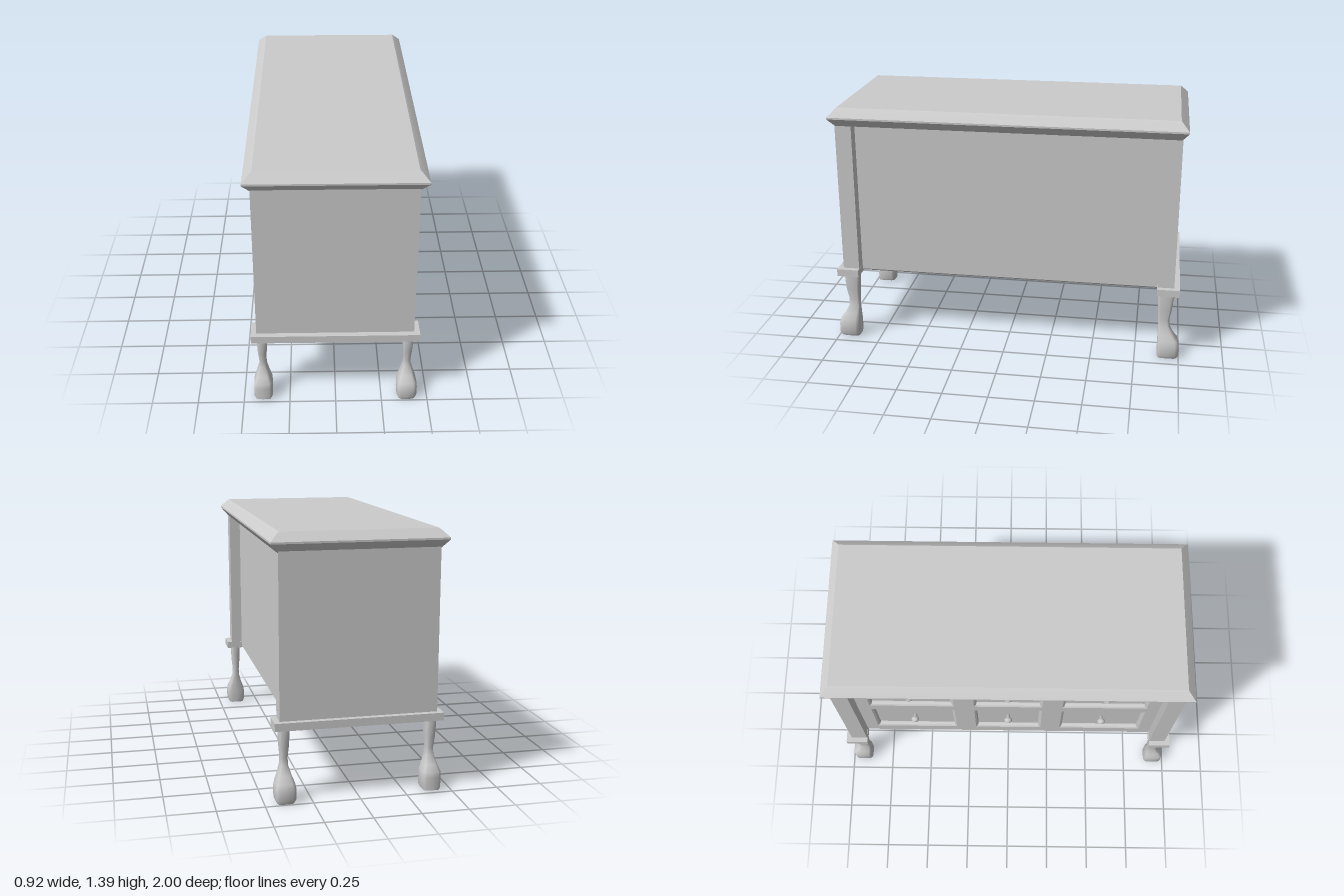
import * as THREE from 'three';
import { toCreasedNormals } from 'three/addons/utils/BufferGeometryUtils.js';

const material = new THREE.MeshStandardMaterial({ color: 0xcccccc });

function add(parent, name, geometry) {
  const mesh = new THREE.Mesh(geometry, material);
  mesh.name = name;
  parent.add(mesh);
  return mesh;
}

// Box given by its lower and upper corners
function box(parent, name, [x0, y0, z0], [x1, y1, z1]) {
  const mesh = add(parent, name, new THREE.BoxGeometry(x1 - x0, y1 - y0, z1 - z0));
  mesh.position.set((x0 + x1) / 2, (y0 + y1) / 2, (z0 + z1) / 2);
  return mesh;
}

// Closed solid through rounded-rectangle sections {y, cx, cz, hx, hz}, bottom to top
function loft(sections, sides, power, crease, phase = 0) {
  const points = [], index = [];
  const shape = (v) => Math.sign(v) * Math.abs(v) ** power;
  for (const s of sections) {
    for (let i = 0; i < sides; i++) {
      const a = phase + (i / sides) * Math.PI * 2;
      points.push(s.cx + s.hx * shape(Math.cos(a)), s.y, s.cz + s.hz * shape(Math.sin(a)));
    }
  }
  for (let r = 0; r < sections.length - 1; r++) {
    for (let i = 0; i < sides; i++) {
      const a = r * sides + i, b = r * sides + ((i + 1) % sides);
      index.push(a, a + sides, b, b, a + sides, b + sides);
    }
  }
  const top = (sections.length - 1) * sides;
  for (let i = 1; i < sides - 1; i++) {
    index.push(0, i, i + 1, top, top + i + 1, top + i);
  }
  const geometry = new THREE.BufferGeometry();
  geometry.setAttribute('position', new THREE.Float32BufferAttribute(points, 3));
  geometry.setIndex(index);
  return toCreasedNormals(geometry, crease);
}

function rectangle(path, z0, y0, z1, y1) {
  path.moveTo(z0, y0);
  path.lineTo(z1, y0);
  path.lineTo(z1, y1);
  path.lineTo(z0, y1);
  path.closePath();
  return path;
}

export function createModel() {
  const model = new THREE.Group();
  model.name = 'sideboard';

  // Top slab with a pointed, mitred edge
  const slab = [[1.29, 0.42, 0.95], [1.335, 0.458, 0.985], [1.345, 0.458, 0.985], [1.385, 0.418, 0.947], [1.392, 0.408, 0.94]]
    .map(([y, x, z]) => ({ y, cx: 0, cz: 0, hx: x * Math.SQRT2, hz: z * Math.SQRT2 }));
  add(model, 'top', loft(slab, 4, 1, 0.5, Math.PI / 4));

  // End walls with corner posts, and the moulding below each
  for (const s of [-1, 1]) {
    const z = (a, b) => (s > 0 ? [a, b] : [-b, -a]);
    const [w0, w1] = z(0.862, 0.955);
    box(model, 'endWall', [-0.42, 0.41, w0], [0.416, 1.3, w1]);
    const [m0, m1] = z(0.86, 0.986);
    box(model, 'endMoulding', [-0.448, 0.39, m0], [0.446, 0.432, m1]);
  }

  // Recessed plain panel, with a softened lower edge
  box(model, 'backPanel', [0.3, 0.405, -0.87], [0.35, 1.3, 0.87]);
  const lip = add(model, 'backPanelLip', new THREE.CylinderGeometry(0.025, 0.025, 1.74, 16));
  lip.rotation.x = Math.PI / 2;
  lip.position.set(0.325, 0.415, 0);

  box(model, 'bottomPanel', [-0.32, 0.43, -0.87], [0.32, 0.45, 0.87]);

  // Drawer frame with six chamfered openings
  const columns = [[-0.55, 0.24], [0, 0.195], [0.55, 0.24]];
  const rows = [0.65, 1.055];
  const halfHeight = 0.168;
  const face = rectangle(new THREE.Shape(), -0.865, 0.405, 0.865, 1.29);
  for (const [z, h] of columns) {
    for (const y of rows) {
      face.holes.push(rectangle(new THREE.Path(), z - h, y - halfHeight, z + h, y + halfHeight));
    }
  }
  const frame = new THREE.ExtrudeGeometry(face, {
    depth: 0.035, bevelThickness: 0.02, bevelSize: 0.015, bevelSegments: 2,
  });
  frame.rotateY(-Math.PI / 2);
  frame.translate(-0.3, 0, 0);
  add(model, 'drawerFrame', frame);

  // Drawers with turned knobs
  const knobProfile = [[0, 0], [0.01, 0], [0.01, 0.014], [0.02, 0.022], [0.023, 0.032], [0.018, 0.043], [0.009, 0.048], [0, 0.05]]
    .map(([r, y]) => new THREE.Vector2(r, y));
  for (const [z, h] of columns) {
    for (const y of rows) {
      const drawer = new THREE.Group();
      drawer.name = 'drawer';
      model.add(drawer);
      box(drawer, 'drawerFront', [-0.33, y - halfHeight, z - h], [-0.27, y + halfHeight, z + h]);
      const knob = add(drawer, 'knob', new THREE.LatheGeometry(knobProfile, 20));
      knob.rotation.z = Math.PI / 2;
      knob.position.set(-0.33, y, z);
    }
  }

  // Legs: narrow ankle and a heavy foot; rows are height, half width, inner z, outer z
  const legRows = [
    [0, 0.046, 0.878, 0.992], [0.02, 0.055, 0.876, 1], [0.075, 0.056, 0.876, 1],
    [0.105, 0.05, 0.876, 0.992], [0.14, 0.036, 0.876, 0.965], [0.19, 0.021, 0.876, 0.94],
    [0.23, 0.019, 0.875, 0.938], [0.29, 0.024, 0.872, 0.95], [0.345, 0.027, 0.868, 0.955],
    [0.4, 0.028, 0.866, 0.956],
  ];
  for (const sx of [-1, 1]) {
    for (const sz of [-1, 1]) {
      const sections = legRows.map(([y, hx, inner, outer]) => {
        // The drawer-side feet are slightly smaller
        const out = sx < 0 ? Math.min(outer, 0.988) : outer;
        return {
          y: sx < 0 ? Math.max(y, 0.008) : y,
          cx: sx < 0 ? -0.394 : 0.389,
          cz: sz * (inner + out) / 2,
          hx: sx < 0 ? Math.min(hx, 0.051) : hx,
          hz: (out - inner) / 2,
        };
      });
      add(model, 'leg', loft(sections, 16, 0.45, 0.75));
    }
  }

  return model;
}
